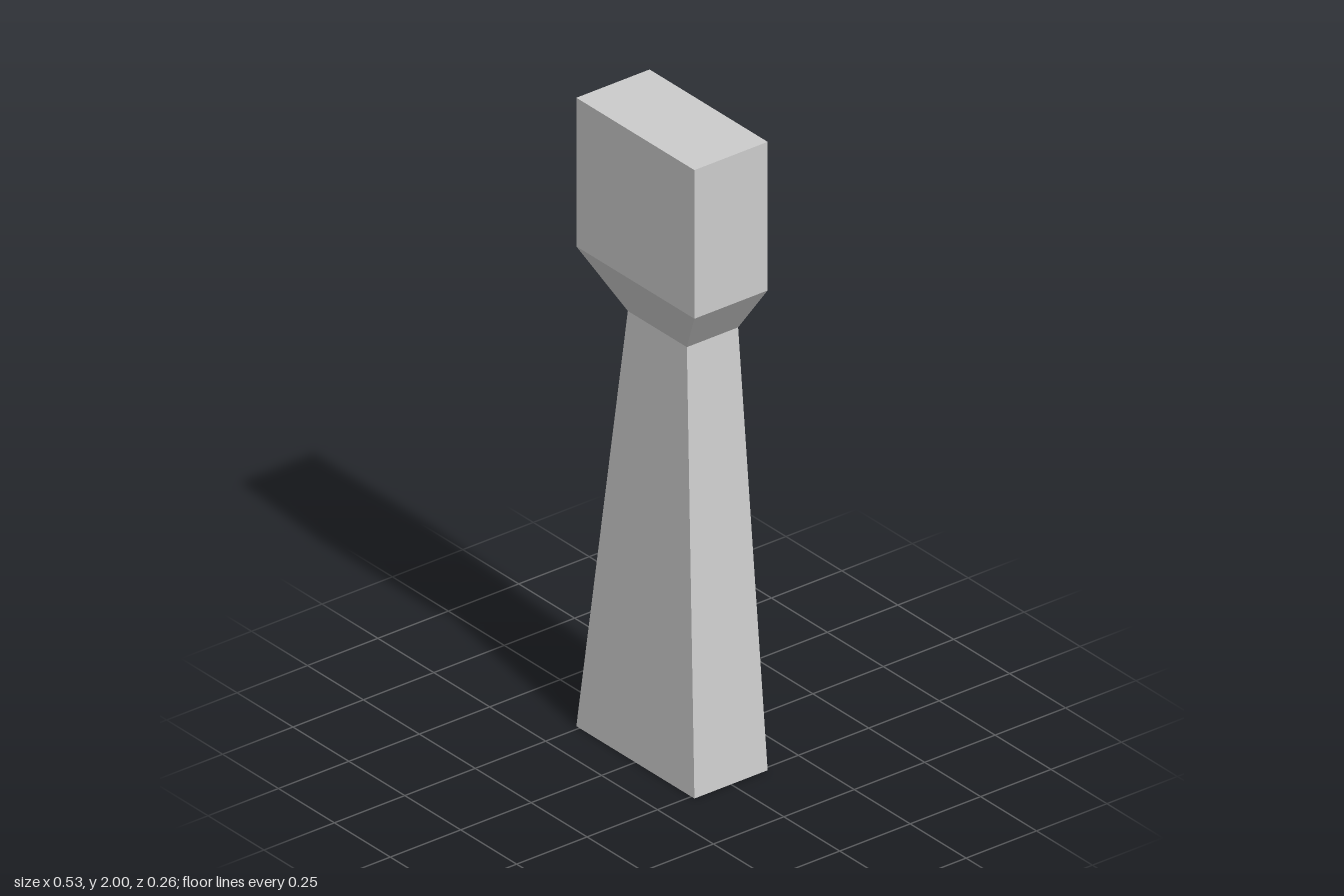
import * as THREE from 'three';

const BACK = -0.13;
const material = new THREE.MeshStandardMaterial({
  color: 0xcccccc, flatShading: true, side: THREE.DoubleSide,
});

// Open-backed U section at one height: back left, front left, front right, back right
const section = (y, halfWidth, front) => [
  [-halfWidth, y, BACK], [-halfWidth, y, front],
  [halfWidth, y, front], [halfWidth, y, BACK],
];

// Three walls joining two sections
const walls = (low, high) =>
  [0, 1, 2].map((i) => [low[i], low[i + 1], high[i + 1], high[i]]);

function panel(name, quads) {
  const points = quads.flatMap(([a, b, c, d]) => [a, b, c, a, c, d]);
  const geometry = new THREE.BufferGeometry();
  geometry.setAttribute('position', new THREE.Float32BufferAttribute(points.flat(), 3));
  geometry.computeVertexNormals();
  const mesh = new THREE.Mesh(geometry, material);
  mesh.name = name;
  return mesh;
}

export function createModel() {
  const foot = section(0, 0.264, 0.13);
  const neck = section(1.352, 0.132, 0.052);
  const shoulder = section(1.527, 0.264, 0.13);
  const crown = section(2, 0.264, 0.13);

  const group = new THREE.Group();
  group.name = 'hollowPillar';
  group.add(
    panel('taperedShaft', walls(foot, neck)),
    panel('flaredNeck', walls(neck, shoulder)),
    panel('head', walls(shoulder, crown)),
    panel('topCap', [[crown[1], crown[2], crown[3], crown[0]]]),
    panel('basePlate', [[foot[0], foot[3], foot[2], foot[1]]]),
  );
  return group;
}
